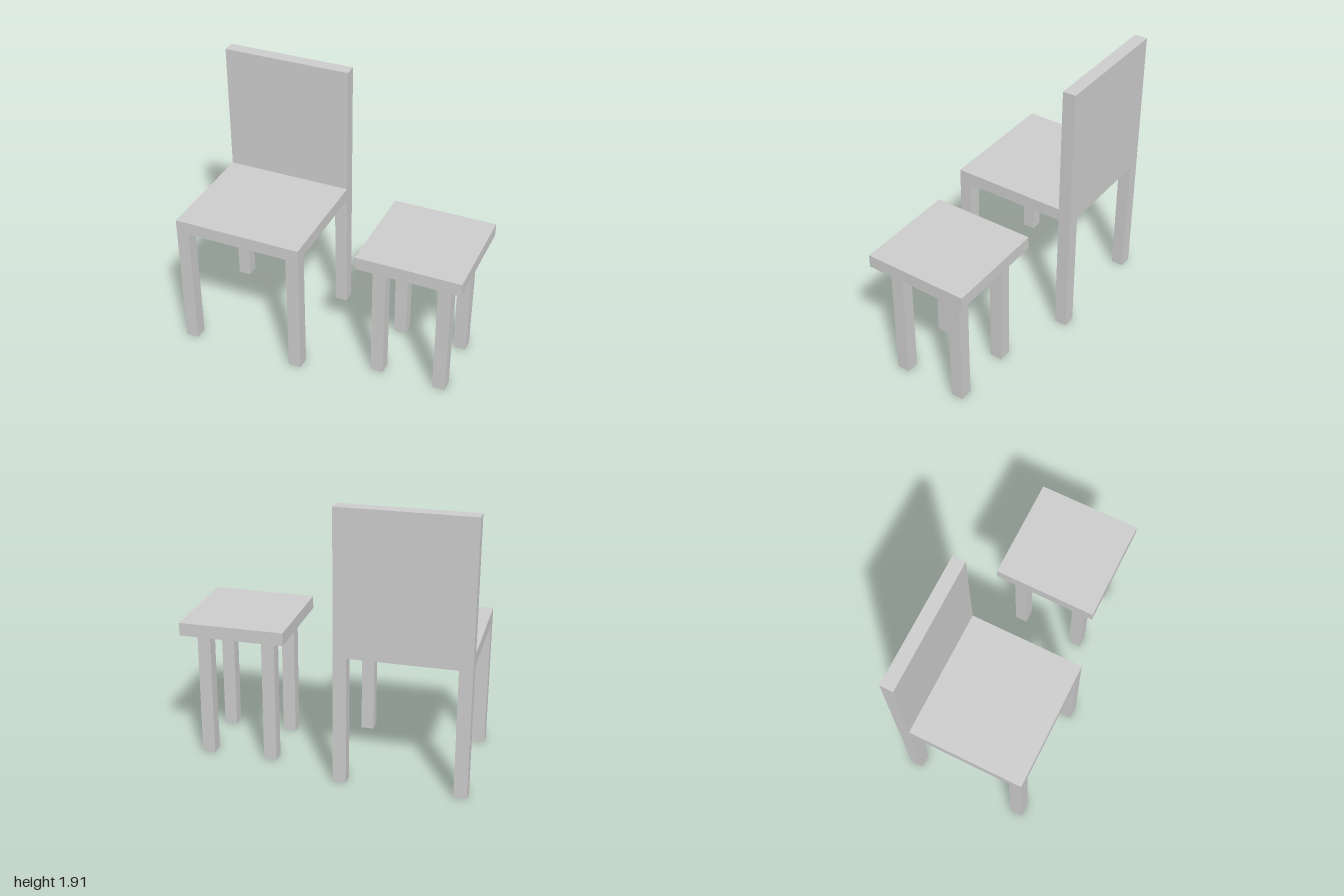
import * as THREE from 'three';

const U = 1 / 11; // module: thickness of every board and leg
const SEAT_TOP = 11;
const material = new THREE.MeshStandardMaterial({ color: 0xcccccc, flatShading: true });

// Box sized in modules, placed by the centre of its base
function box(name, w, h, d, x, y, z) {
  const mesh = new THREE.Mesh(new THREE.BoxGeometry(w * U, h * U, d * U), material);
  mesh.name = name;
  mesh.position.set(x * U, (y + h / 2) * U, z * U);
  return mesh;
}

// Square seat on four legs, each leg centred legOffset from the middle
function seatOnLegs(name, size, legOffset) {
  const group = new THREE.Group();
  group.name = name;
  group.add(box('seat', size, 1, size, 0, SEAT_TOP - 1, 0));
  for (const [side, sx] of [['Left', 1], ['Right', -1]]) {
    for (const [end, sz] of [['front', 1], ['back', -1]]) {
      group.add(box(`${end}${side}Leg`, 1, SEAT_TOP - 1, 1, sx * legOffset, 0, sz * legOffset));
    }
  }
  return group;
}

export function createModel() {
  const model = new THREE.Group();
  model.name = 'chairAndStool';

  // Chair: legs flush with the seat corners, tall flat backrest
  const chair = seatOnLegs('chair', 10, 4.5);
  chair.add(box('backrest', 10, 10, 1, 0, SEAT_TOP, -4.5));
  chair.position.x = -6 * U;

  // Stool: smaller seat overhanging inset legs
  const stool = seatOnLegs('stool', 8, 2.5);
  stool.position.x = 7 * U;

  model.add(chair, stool);
  return model;
}
